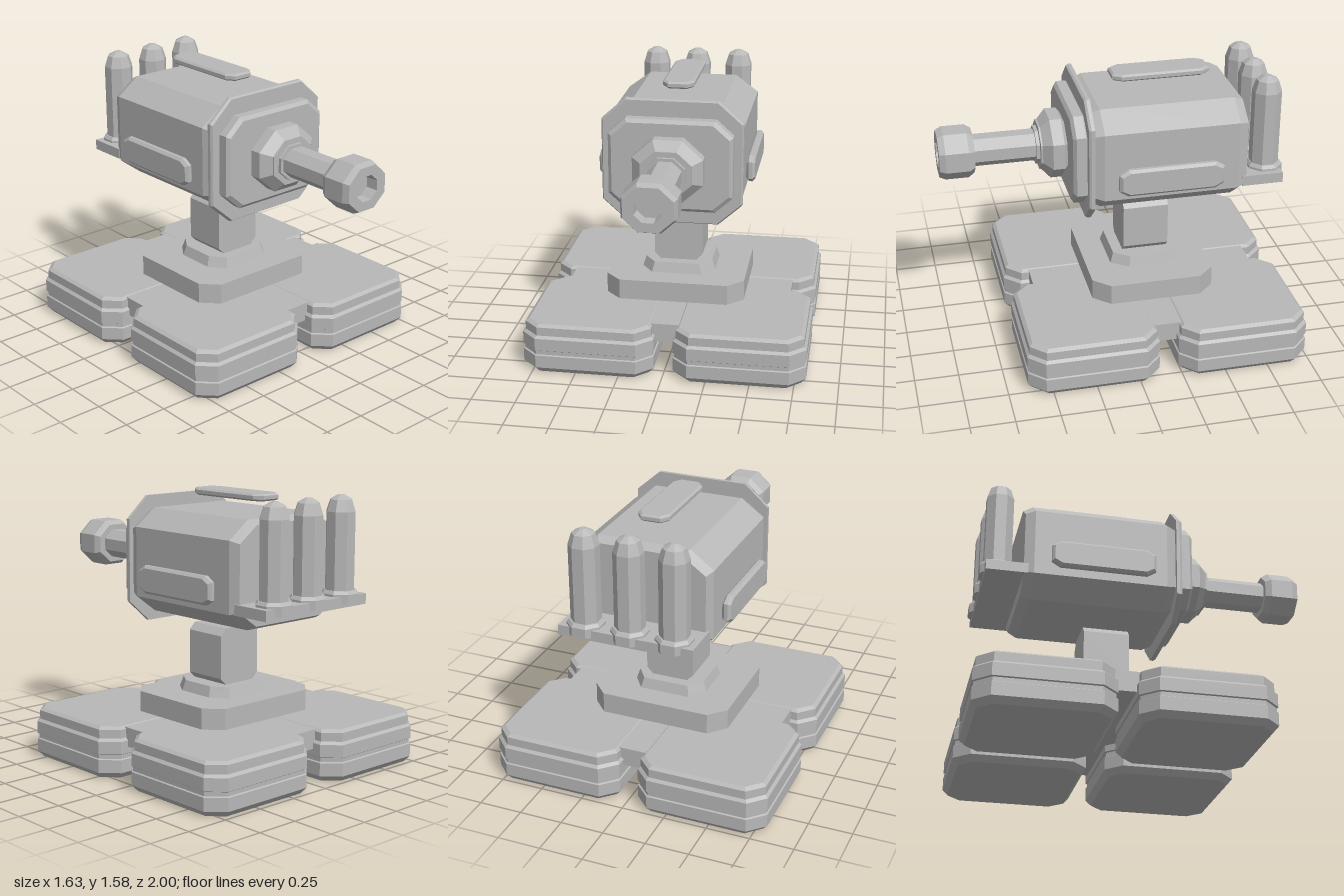
import * as THREE from 'three';

const grey = new THREE.MeshStandardMaterial({ color: 0xb8b8b8, flatShading: true });
grey.name = 'plain grey';

// Stack of chamfered rectangles along y; each ring is [y, halfX, halfZ, chamferX, chamferZ].
function loft(rings) {
  const pos = [];
  const loops = rings.map(([y, hx, hz, cx, cz]) => [
    [hx, y, hz - cz], [hx, y, cz - hz], [hx - cx, y, -hz], [cx - hx, y, -hz],
    [-hx, y, cz - hz], [-hx, y, hz - cz], [cx - hx, y, hz], [hx - cx, y, hz],
  ]);
  const tri = (a, b, c) => pos.push(...a, ...b, ...c);
  for (let r = 0; r < loops.length - 1; r++) {
    for (let i = 0; i < 8; i++) {
      const j = (i + 1) % 8, lo = loops[r], up = loops[r + 1];
      tri(lo[i], lo[j], up[j]);
      tri(lo[i], up[j], up[i]);
    }
  }
  const first = loops[0], last = loops[loops.length - 1];
  for (let k = 1; k < 7; k++) {
    tri(last[0], last[k], last[k + 1]);
    tri(first[0], first[k + 1], first[k]);
  }
  const g = new THREE.BufferGeometry();
  g.setAttribute('position', new THREE.Float32BufferAttribute(pos, 3));
  g.computeVertexNormals();
  return g;
}

// Rings of one outline shrunk by an inset: steps are [y, inset].
const inset = (hx, hz, cx, cz, steps) =>
  loft(steps.map(([y, d]) => [y, hx - d, hz - d, cx - d * 0.4, cz - d * 0.4]));

// Regular octagon rings: steps are [y, radiusX, radiusZ].
const octagon = (steps) => loft(steps.map(([y, a, b = a]) => [y, a, b, a * 0.586, b * 0.586]));

export function createModel() {
  const model = new THREE.Group();
  const add = (name, geometry, x = 0, y = 0, z = 0) => {
    const mesh = new THREE.Mesh(geometry, grey);
    mesh.name = name;
    mesh.position.set(x, y, z);
    model.add(mesh);
    return mesh;
  };
  const baseZ = -0.18, axisY = 1.167;

  // Four foot pads with a groove and a stepped top
  const pad = inset(0.38, 0.38, 0.09, 0.09, [
    [0, 0.03], [0.035, 0], [0.11, 0], [0.115, 0.008], [0.138, 0.008], [0.143, 0],
    [0.215, 0], [0.23, 0.015], [0.28, 0.015], [0.295, 0.035],
  ]);
  for (const x of [-0.435, 0.435])
    for (const z of [-0.435, 0.435]) add('footPad', pad, x, 0, baseZ + z);

  // Cross beams joining the pads
  add('crossBeamSide', new THREE.BoxGeometry(1.35, 0.11, 0.2), 0, 0.235, baseZ);
  add('crossBeamLong', new THREE.BoxGeometry(0.2, 0.11, 1.34), 0, 0.235, baseZ);

  // Base plate, collar and post
  add('basePlate', inset(0.41, 0.36, 0.09, 0.095, [[0.295, 0], [0.415, 0]]), 0, 0, baseZ);
  add('collar', loft([[0.41, 0.22, 0.215, 0.07, 0.1], [0.475, 0.2, 0.195, 0.065, 0.09]]), 0, 0, baseZ);
  add('post', inset(0.143, 0.165, 0.04, 0.04, [[-0.133, 0], [0.133, 0]]).rotateX(Math.PI / 2), 0, 0.637, baseZ);

  // Parts along the barrel axis
  const along = (name, g) => add(name, g.rotateX(Math.PI / 2), 0, axisY, 0);
  along('body', inset(0.4, 0.3, 0.135, 0.1, [[-0.705, 0.025], [-0.65, 0], [0.12, 0], [0.18, 0.025]]));
  along('frontFlange', inset(0.405, 0.365, 0.14, 0.125, [[0.175, 0], [0.195, 0], [0.208, 0.008]]));
  along('frontPlate', inset(0.355, 0.267, 0.1, 0.09, [[0.2, 0.01], [0.215, 0], [0.268, 0], [0.285, 0.02]]));
  along('barrelMount', octagon([
    [0.28, 0.17, 0.15], [0.305, 0.2, 0.18], [0.37, 0.2, 0.18], [0.42, 0.145, 0.13],
    [0.43, 0.145, 0.13], [0.43, 0.11, 0.1], [0.45, 0.11, 0.1],
  ]));
  along('barrel', octagon([[0.44, 0.092, 0.083], [0.82, 0.092, 0.083]]));
  along('muzzle', octagon([
    [0.8, 0.13, 0.115], [0.835, 0.15, 0.137], [0.965, 0.15, 0.137], [1, 0.135, 0.122],
    [1, 0.075, 0.07], [0.93, 0.07, 0.065],
  ]));

  // Raised panels on the sides and above the body
  const panel = () => inset(0.08, 0.3, 0.03, 0.05, [[-0.025, 0.015], [-0.01, 0], [0.01, 0], [0.025, 0.015]]);
  for (const s of [-1, 1]) add('sidePanel', panel().rotateZ(-Math.PI / 2), s * 0.43, 1.085, -0.255);
  add('topPanel', inset(0.092, 0.282, 0.035, 0.05, [[1.54, 0.012], [1.55, 0], [1.57, 0], [1.58, 0.012]]), 0, 0, -0.278);

  // Rear shelf with three upright tubes
  add('rearShelf', new THREE.BoxGeometry(0.78, 0.06, 0.24), 0, 0.998, -0.8);
  const socket = octagon([[0.985, 0.098], [1.04, 0.098], [1.058, 0.085]]);
  const tube = octagon([[1.03, 0.078], [1.49, 0.078], [1.555, 0.058], [1.58, 0.018]]);
  for (const x of [-0.257, 0, 0.257]) {
    add('tubeSocket', socket, x, 0, -0.845);
    add('rearTube', tube, x, 0, -0.842);
  }
  return model;
}
